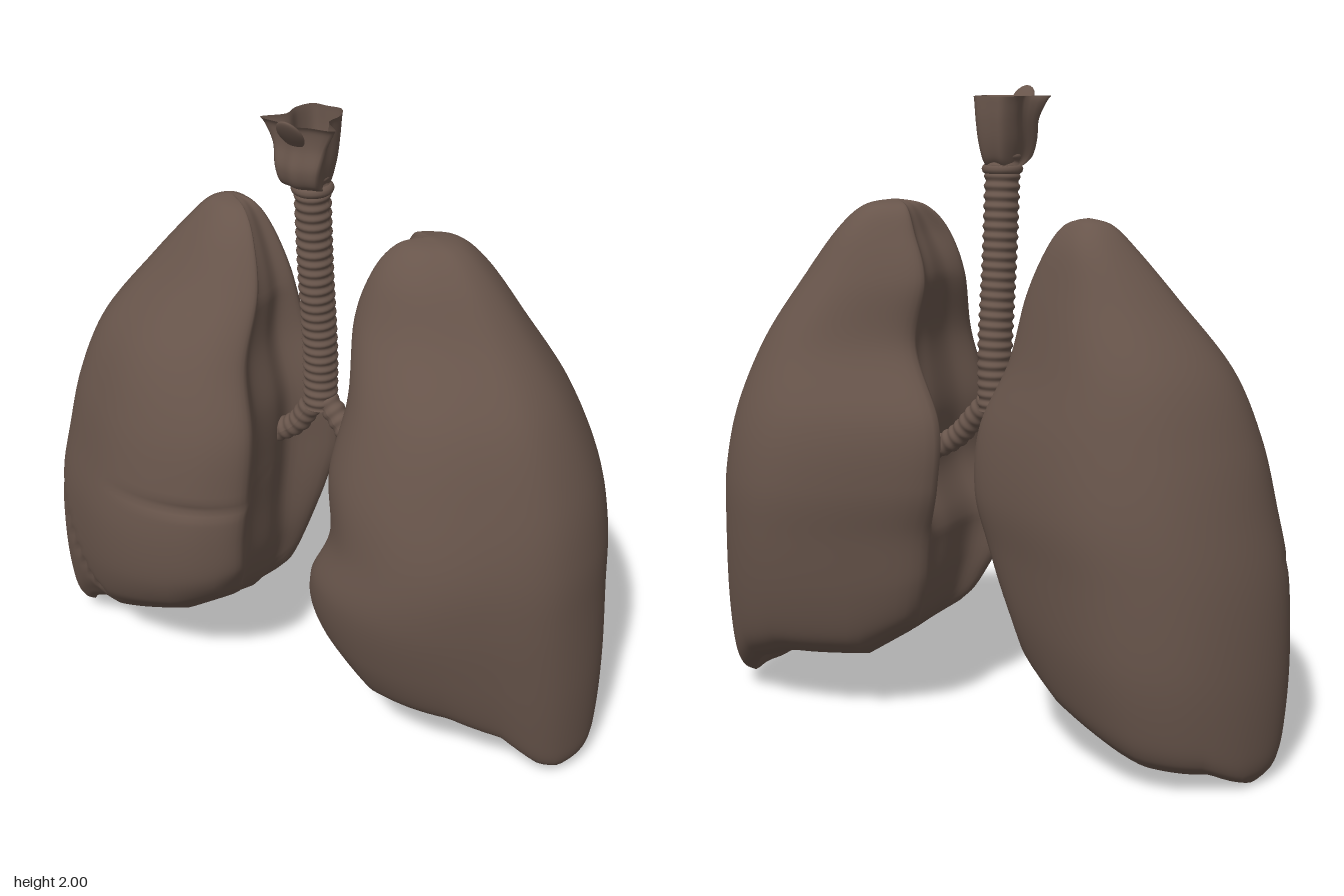
import * as THREE from 'three';

const tissue = new THREE.MeshStandardMaterial({ color: 0x68554b });
tissue.name = 'brown tissue';
const tissueOpen = tissue.clone();
tissueOpen.side = THREE.DoubleSide;

const V = (x, y, z) => new THREE.Vector3(x, y, z);
const bump = (d, w) => Math.exp(-((d / w) ** 2));

// Skin closed loops of points, listed from top to bottom
function skin(rows, flip = false) {
  const n = rows[0].length, pos = [], idx = [];
  rows.forEach(r => r.forEach(p => pos.push(p.x, p.y, p.z)));
  for (let i = 0; i < rows.length - 1; i++) {
    for (let j = 0; j < n; j++) {
      const a = i * n + j, c = i * n + (j + 1) % n, b = a + n, d = c + n;
      if (flip) idx.push(a, b, c, c, b, d);
      else idx.push(a, c, b, c, d, b);
    }
  }
  const g = new THREE.BufferGeometry();
  g.setAttribute('position', new THREE.Float32BufferAttribute(pos, 3));
  g.setIndex(idx);
  g.computeVertexNormals();
  return g;
}

function loop(points, n) {
  return new THREE.CatmullRomCurve3(points, true).getPoints(n).slice(0, n);
}

// Smooth interpolation through a list of equal-length rows
function blend(levels, t) {
  const m = levels.length - 1, f = Math.min(t * m, m - 1e-6), i = Math.floor(f), u = f - i;
  const at = k => levels[Math.max(0, Math.min(m, k))];
  const [a, b, c, d] = [at(i - 1), at(i), at(i + 1), at(i + 2)];
  return b.map((v, k) => v + 0.5 * u * (c[k] - a[k]
    + u * (2 * a[k] - 5 * v + 4 * c[k] - d[k] + u * (3 * (v - c[k]) + d[k] - a[k]))));
}

function ramp(table, x) {
  if (x <= table[0][0]) return table[0][1];
  for (let i = 1; i < table.length; i++) {
    const [x0, y0] = table[i - 1], [x1, y1] = table[i];
    if (x <= x1) return y0 + (y1 - y0) * (x - x0) / (x1 - x0);
  }
  return table[table.length - 1][1];
}

// Cross-section outline: [distance from inner edge to outer edge, back -1 to front 1]
const BACK_SIDE = [[0, -0.45], [0.22, -0.78], [0.55, -1], [0.78, -0.85], [0.94, -0.45], [1, 0]];
const FRONT_SIDE = [[0.93, 0.43], [0.72, 0.76], [0.52, 0.95], [0.33, 1], [0.12, 0.9], [0, 0.67]];

function lungSection([y, xo, xf, xb, zf, zb]) {
  const mid = (zf + zb) / 2, half = (zf - zb) / 2;
  const inner = Math.max(xf, xb) + 0.06 * (xo - xf);
  const pts = [
    ...BACK_SIDE.map(([u, w]) => V(xb + (xo - xb) * u, y, mid + half * w)),
    ...FRONT_SIDE.map(([u, w]) => V(xf + (xo - xf) * u, y, mid + half * w)),
    ...[0.38, 0.05, -0.2].map(w => V(inner, y, mid + half * w)),
  ];
  return loop(pts, 96);
}

const centre = row => row.reduce((s, p) => s.add(p), V(0, 0, 0)).divideScalar(row.length);

// levels: [y, outer x, front inner x, back inner x, front z, back z]
function lung(side, levels, baseTable, frontLift, fissures) {
  const base = (x, z) => ramp(baseTable, x) + frontLift * Math.max(0, z) * Math.min(1, Math.max(0, (0.9 - x) / 0.15));
  const rows = [];
  for (let i = 0; i <= 110; i++) rows.push(lungSection(blend(levels, i / 110)));
  const top = centre(rows[0]);
  rows.unshift(rows[0].map(() => top.clone()));
  // Raise the lower border to the sloping underside
  const last = rows[rows.length - 1], c = centre(last);
  for (const p of rows.flat()) {
    if (p.y < 0.9) p.y += base(p.x, p.z) * (1 - Math.max(0, p.y) / 0.9) ** 2;
    if (fissures && p.z > 0.05) {
      const fade = Math.max(0, 1 - Math.abs(p.x - 0.25) / 0.35);
      const oblique = 0.27 + 0.4 * Math.max(0, (p.x - 0.7) / 0.24) ** 1.2;
      p.z -= 0.014 * fade * bump(p.y - 0.77, 0.02);
      if (p.x > 0.68) p.z -= 0.014 * bump(p.y - oblique, 0.025);
    }
  }
  // Hollow underside
  for (let k = 11; k >= 0; k--) {
    const r = k / 12;
    rows.push(last.map(p => {
      const x = c.x + (p.x - c.x) * r, z = c.z + (p.z - c.z) * r;
      return V(x, base(x, z) + 0.09 * (1 - r * r), z);
    }));
  }
  rows.flat().forEach(p => { p.x *= side; });
  return skin(rows, side < 0);
}

// Tube with cartilage rings
function ringedTube(points, radius, rings) {
  const curve = new THREE.CatmullRomCurve3(points), seg = rings * 8, sides = 24;
  const g = new THREE.TubeGeometry(curve, seg, radius, sides);
  const pos = g.attributes.position, p = V(0, 0, 0);
  for (let i = 0; i <= seg; i++) {
    const c = curve.getPointAt(i / seg), s = 1 + 0.06 * Math.sin(i / 8 * Math.PI * 2);
    for (let j = 0; j <= sides; j++) {
      const k = i * (sides + 1) + j;
      p.fromBufferAttribute(pos, k).sub(c).multiplyScalar(s).add(c);
      pos.setXYZ(k, p.x, p.y, p.z);
    }
  }
  g.computeVertexNormals();
  return g;
}

export function createModel() {
  const model = new THREE.Group();
  const add = (name, geometry, material = tissue) => {
    const mesh = new THREE.Mesh(geometry, material);
    mesh.name = name;
    model.add(mesh);
    return mesh;
  };

  add('leftLung', lung(1, [
    [1.655, 0.34, 0.32, 0.32, -0.02, -0.04], [1.635, 0.43, 0.25, 0.26, 0.05, -0.12],
    [1.56, 0.52, 0.20, 0.22, 0.12, -0.18], [1.42, 0.635, 0.17, 0.17, 0.19, -0.24],
    [1.22, 0.78, 0.20, 0.19, 0.31, -0.32], [1.0, 0.88, 0.17, 0.08, 0.39, -0.41],
    [0.8, 0.925, 0.19, 0.08, 0.43, -0.44], [0.6, 0.94, 0.13, 0.12, 0.44, -0.43],
    [0.35, 0.955, 0.12, 0.14, 0.40, -0.40], [0.15, 0.955, 0.16, 0.17, 0.35, -0.36],
    [0.05, 0.945, 0.19, 0.20, 0.31, -0.31], [0, 0.91, 0.23, 0.24, 0.27, -0.26],
  ], [[0.1, 0.42], [0.2, 0.31], [0.35, 0.21], [0.6, 0.2], [0.75, 0.14], [0.85, 0.04], [0.9, 0.01]], 0.05, false));

  add('rightLung', lung(-1, [
    [1.63, 0.37, 0.35, 0.35, -0.06, -0.08], [1.61, 0.43, 0.28, 0.29, 0, -0.12],
    [1.54, 0.50, 0.22, 0.24, 0.07, -0.17], [1.4, 0.62, 0.17, 0.18, 0.16, -0.22],
    [1.2, 0.775, 0.16, 0.13, 0.29, -0.29], [1.0, 0.86, 0.11, 0.04, 0.37, -0.34],
    [0.8, 0.91, 0.11, 0.03, 0.41, -0.37], [0.6, 0.95, 0.12, 0.07, 0.43, -0.37],
    [0.35, 0.965, 0.13, 0.12, 0.42, -0.36], [0.15, 0.96, 0.16, 0.16, 0.38, -0.33],
    [0.05, 0.945, 0.18, 0.19, 0.33, -0.30], [0, 0.91, 0.23, 0.23, 0.29, -0.26],
  ], [[0.1, 0.42], [0.2, 0.28], [0.35, 0.18], [0.65, 0.08], [0.82, 0.06], [0.9, 0]], 0.4, true));

  // Windpipe and its two branches
  add('trachea', ringedTube([V(-0.02, 1.8, 0.03), V(-0.02, 1.5, 0.01), V(-0.015, 1.2, -0.01), V(-0.015, 1.02, -0.01)], 0.052, 26));
  add('leftBronchus', ringedTube([V(-0.015, 1.07, -0.01), V(0.06, 0.99, 0), V(0.14, 0.91, 0.01), V(0.27, 0.84, 0)], 0.036, 11));
  add('rightBronchus', ringedTube([V(-0.015, 1.07, -0.01), V(-0.06, 0.99, -0.01), V(-0.1, 0.93, -0.01), V(-0.22, 0.85, -0.01)], 0.036, 9));

  // Flared voice box: [y, half width, back z, front z, wing flare]
  const larynx = [
    [1.97, 0.085, -0.07, 0.14, 0.035], [1.95, 0.08, -0.07, 0.13, 0.028], [1.9, 0.075, -0.068, 0.13, 0.008],
    [1.84, 0.07, -0.06, 0.145, 0], [1.79, 0.06, -0.045, 0.13, 0], [1.765, 0.052, -0.025, 0.08, 0],
  ];
  const larynxRows = [];
  for (let i = 0; i <= 30; i++) {
    const [y, w, zb, zf, flare] = blend(larynx, i / 30), m = (zb + zf) / 2, h = (zf - zb) / 2;
    const half = [[0.55, -0.85], [0.85, -0.35], [0.8, 0.2]].map(([u, v]) => [u * w, m + h * v]);
    half.push([w + flare, m + h * 0.75], [0.5 * w, m + h * 0.88]);
    larynxRows.push(loop([
      V(-0.018, y, zb + 0.015), ...half.map(([x, z]) => V(x - 0.018, y, z)), V(-0.018, y, zf),
      ...half.reverse().map(([x, z]) => V(-x - 0.018, y, z)),
    ], 48));
  }
  add('larynx', skin(larynxRows), tissueOpen);

  const ring = add('cricoidRing', new THREE.TorusGeometry(0.047, 0.016, 10, 28));
  ring.rotation.x = Math.PI / 2;
  ring.position.set(-0.018, 1.755, 0.03);

  // Leaf-shaped flap rising at the front of the voice box
  const flap = add('epiglottis', new THREE.SphereGeometry(1, 20, 12));
  flap.scale.set(0.04, 0.06, 0.012);
  flap.rotation.x = 0.65;
  flap.position.set(-0.018, 1.951, 0.15);

  return model;
}
